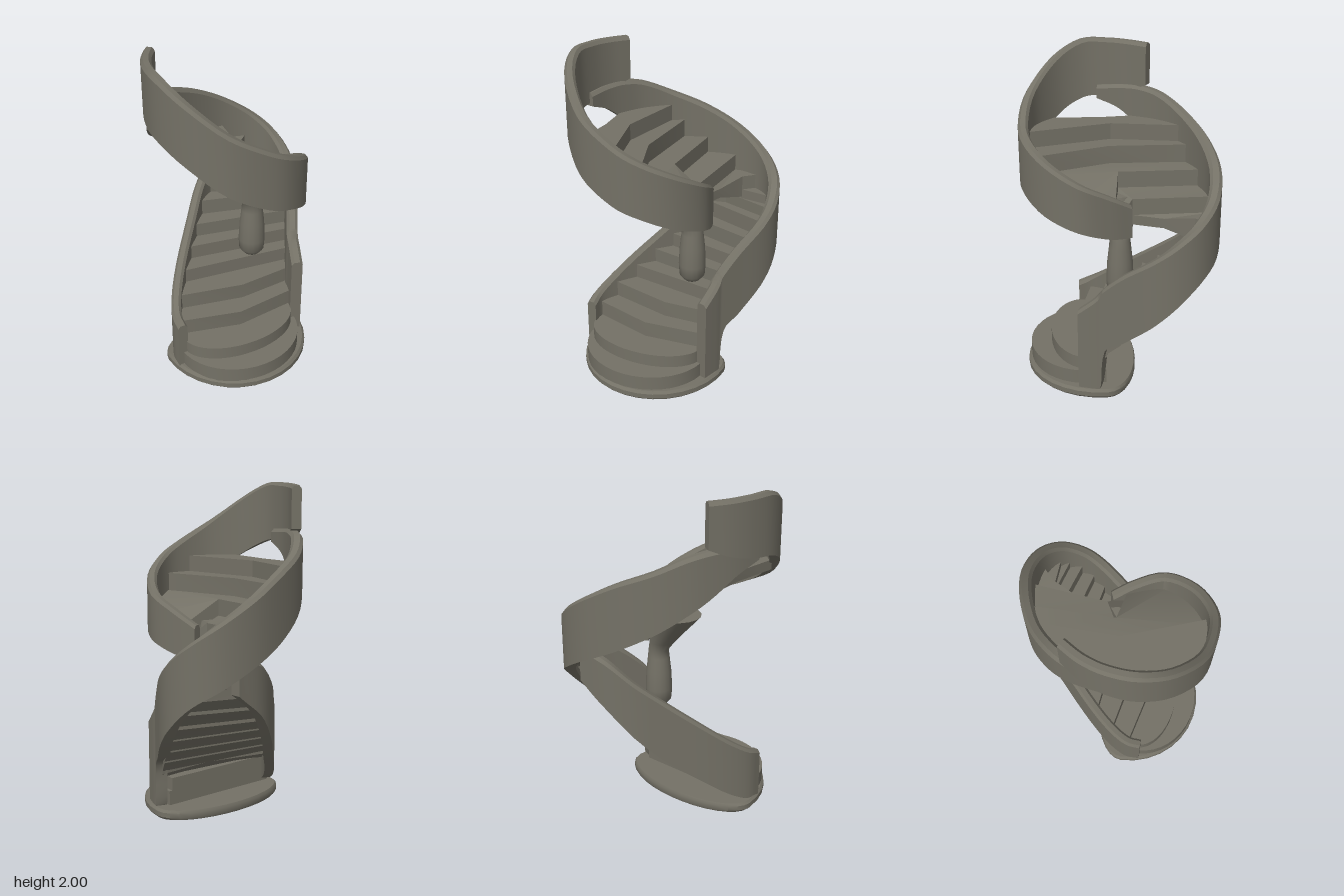
import * as THREE from 'three';
import { toCreasedNormals } from 'three/addons/utils/BufferGeometryUtils.js';

const stone = new THREE.MeshStandardMaterial({ color: 0x747166 });
stone.name = 'stone';

function part(geometry, name, crease = 0.6) {
  const mesh = new THREE.Mesh(toCreasedNormals(geometry, crease), stone);
  mesh.name = name;
  return mesh;
}

// Upright band swept along a path; each point is [x, z, bottom, top]
function band(points, name, thickness = 0.065) {
  const curve = (k) => new THREE.CatmullRomCurve3(
    points.map((p) => new THREE.Vector3(p[0], p[k], p[1])), false, 'catmullrom', 0.5);
  const low = curve(2), high = curve(3);
  const n = (points.length - 1) * 4, h = thickness / 2;
  const pos = [], idx = [];
  for (let i = 0; i <= n; i++) {
    const a = low.getPoint(i / n), b = high.getPoint(i / n);
    const t = low.getTangent(i / n).setY(0).normalize();
    const ring = [[h, a.y], [h, b.y - 0.02], [h * 0.5, b.y], [-h * 0.5, b.y], [-h, b.y - 0.02], [-h, a.y]];
    for (const [s, y] of ring) pos.push(a.x + t.z * s, y, a.z - t.x * s);
  }
  for (let i = 0; i < n; i++) {
    for (let j = 0; j < 6; j++) {
      const a = i * 6 + j, b = i * 6 + (j + 1) % 6;
      idx.push(a, b, b + 6, a, b + 6, a + 6);
    }
  }
  for (let j = 1; j < 5; j++) {
    idx.push(0, j + 1, j);
    idx.push(n * 6, n * 6 + j, n * 6 + j + 1);
  }
  const g = new THREE.BufferGeometry();
  g.setAttribute('position', new THREE.Float32BufferAttribute(pos, 3));
  g.setIndex(idx);
  return part(g, name);
}

// Lathe from [radius, y] pairs, with a rule that moves each vertex
function turned(profile, sides, rule) {
  const g = new THREE.LatheGeometry(profile.map(([r, y]) => new THREE.Vector2(r, y)), sides);
  const pos = g.attributes.position;
  for (let i = 0; i < pos.count; i++) {
    pos.setXYZ(i, ...rule(pos.getX(i), pos.getY(i), pos.getZ(i)));
  }
  return g;
}

// Horizontal slab from an outline of [x, z] points
function slabGeometry(outline, top, depth) {
  const shape = new THREE.Shape(outline.map((p) => new THREE.Vector2(p[0], -p[1])));
  const g = new THREE.ExtrudeGeometry(shape, { depth, bevelEnabled: false });
  return g.rotateX(-Math.PI / 2).translate(0, top - depth, 0);
}

// Step with a bowed front
function bowedStep(rx, rz, zBack, top, name) {
  const outline = [];
  for (let i = 0; i <= 20; i++) {
    const a = (i / 20) * Math.PI;
    outline.push([-0.08 + rx * Math.cos(a), 0.2 + rz * Math.sin(a)]);
  }
  outline.push([-0.08 - rx, zBack], [-0.08 + rx, zBack]);
  return part(slabGeometry(outline, top, top - 0.04), name);
}

// Tread with a sloping underside; a third value in a point sinks it by that much
function tread(front, rest, top, name) {
  const outline = [...front, ...rest.filter((p) => !front.includes(p))];
  const g = slabGeometry(outline, top, 0.13);
  const pos = g.attributes.position;
  for (let i = 0; i < pos.count; i++) {
    const p = outline.find((q) => Math.hypot(q[0] - pos.getX(i), q[1] - pos.getZ(i)) < 1e-4);
    const under = pos.getY(i) < top - 0.01;
    const thick = under ? (front.includes(p) ? 0.14 : 0.06) : 0;
    pos.setY(i, top - thick - (p[2] || 0));
  }
  return part(g, name, 0.4);
}

export function createModel() {
  const group = new THREE.Group();
  group.name = 'spiralStaircase';

  // Rounded base plate, fuller towards the back
  const base = turned([[0, 0], [0.97, 0], [1, 0.015], [1, 0.045], [0.97, 0.06], [0, 0.06]], 32,
    (x, y, z) => [x * 0.46 - 0.06, y, z * (z > 0 ? 0.47 : 0.21) + 0.1]);
  group.add(part(base, 'basePlate'));

  // Bowed starting steps
  group.add(bowedStep(0.39, 0.35, 0.1, 0.15, 'firstStep'));
  group.add(bowedStep(0.37, 0.22, 0.1, 0.23, 'secondStep'));

  // Front edges of the treads, listed left to right after the tread height
  const pivot = [0.28, -0.42];
  const edges = [
    [0.33, [-0.45, 0.14], [-0.08, 0.24], [0.32, 0.2]],
    [0.43, [-0.39, 0.03], [0.0, 0.12], [0.36, 0.1]],
    [0.52, [-0.31, -0.08], [0.40, 0.02]],
    [0.61, [-0.23, -0.18], [0.43, -0.06]],
    [0.70, [-0.15, -0.27], [0.47, -0.13]],
    [0.80, [-0.05, -0.36], [0.5, -0.2]],
    [0.90, [0.05, -0.43], [0.52, -0.27]],
    [0.97, [0.16, -0.455], [0.52, -0.34]],
    [1.03, pivot, [0.49, -0.4]],
    [1.12, pivot, [0.37, -0.5]],
    [1.22, [0.15, -0.07, 0.02], [0.2, -0.54]],
    [1.32, [0.24, 0.04, 0.14], [0.01, 0], [0.02, -0.51]],
    [1.43, [0.03, 0.53], [-0.14, 0.04], [-0.12, -0.47]],
    [1.53, [-0.14, 0.54], [-0.27, 0.02], [-0.18, -0.44]],
    [0, [-0.42, 0.38], [-0.4, 0.08], [-0.42, -0.17]],
  ];
  // Extra points along the left side of the widest treads
  const leftSide = {
    1.12: [[0.2, -0.25, 0.03]],
    1.32: [[0.16, 0.45, 0.05], [0.28, 0.28, 0.1], [0.28, 0.14, 0.12]],
    1.53: [[-0.3, 0.49]],
  };
  for (let i = 0; i < edges.length - 1; i++) {
    const [y, ...front] = edges[i];
    const back = edges[i + 1].slice(1).reverse();
    const side = leftSide[y] || [];
    group.add(tread(front, [...back, ...side], y, 'tread' + (i + 1)));
  }

  // Right-hand railing: post, then round the back to the top
  group.add(band([
    [0.31, 0.26, 0.05, 0.58], [0.34, 0.17, 0.05, 0.66], [0.35, 0.13, 0.07, 0.71], [0.365, 0.1, 0.33, 0.75],
    [0.42, 0, 0.41, 0.85], [0.5, -0.15, 0.55, 0.97], [0.525, -0.27, 0.68, 1.07], [0.49, -0.4, 0.82, 1.18],
    [0.38, -0.5, 0.92, 1.29], [0.2, -0.54, 1.03, 1.41], [0, -0.505, 1.13, 1.52], [-0.2, -0.42, 1.25, 1.61],
    [-0.34, -0.3, 1.37, 1.69], [-0.42, -0.18, 1.47, 1.72], [-0.475, -0.06, 1.57, 1.72], [-0.51, 0.08, 1.63, 1.71],
  ], 'rightRailing', 0.07));

  // Left-hand railing of the lower flight
  group.add(band([
    [-0.47, 0.22, 0.05, 0.36], [-0.465, 0.13, 0.06, 0.4], [-0.41, 0.02, 0.12, 0.48], [-0.31, -0.11, 0.23, 0.6],
    [-0.16, -0.27, 0.38, 0.76], [-0.03, -0.4, 0.55, 0.9], [0.11, -0.48, 0.73, 1.03], [0.28, -0.5, 0.87, 1.08],
  ], 'lowerLeftRailing', 0.06));

  // Left-hand railing of the upper flight, ending in the high panel
  group.add(band([
    [0.205, -0.05, 0.99, 1.19], [0.26, 0.08, 1.01, 1.27],
    [0.29, 0.25, 1.07, 1.36], [0.2, 0.42, 1.14, 1.46], [0.05, 0.525, 1.22, 1.55], [-0.1, 0.545, 1.28, 1.63],
    [-0.3, 0.495, 1.39, 1.75], [-0.46, 0.35, 1.54, 1.9], [-0.53, 0.18, 1.63, 1.99], [-0.52, 0.02, 1.65, 1.995],
    [-0.475, -0.11, 1.68, 1.99], [-0.405, -0.22, 1.73, 1.985],
  ], 'upperLeftRailing', 0.06));

  // Hanging newel column, flaring and leaning into the upper flight
  const newel = turned([
    [0, 0.57], [0.05, 0.575], [0.078, 0.61], [0.083, 0.68], [0.077, 0.8], [0.067, 0.89],
    [0.062, 0.94], [0.078, 1.0], [0.1, 1.07], [0.125, 1.14], [0.145, 1.2], [0, 1.2],
  ], 16, (x, y, z) => [x + 0.13 - Math.max(0, y - 0.95) * 0.6, y, z]);
  group.add(part(newel, 'newelColumn', 0.9));

  return group;
}
